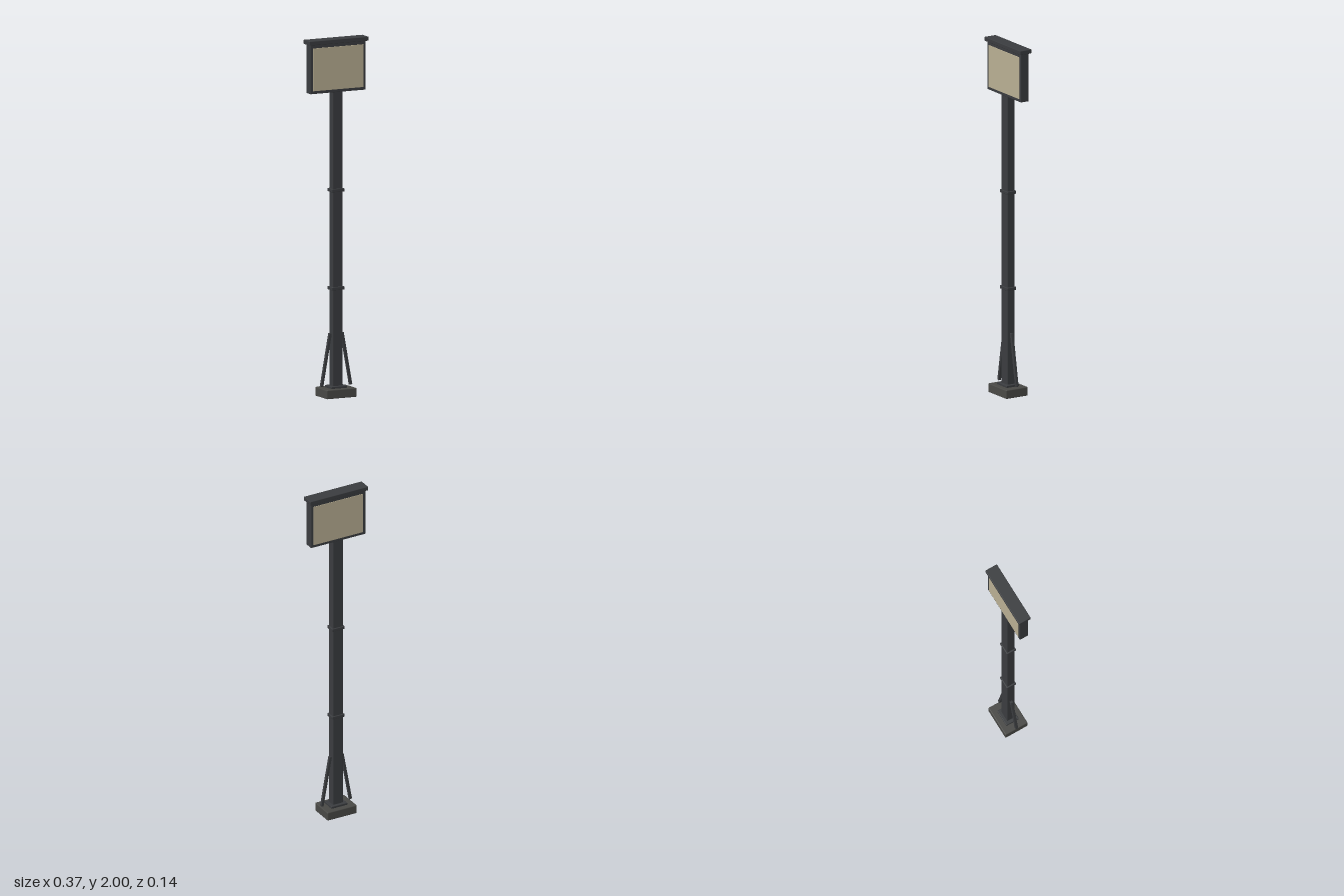
import * as THREE from 'three';
import { RoundedBoxGeometry } from 'three/addons/geometries/RoundedBoxGeometry.js';

export function createModel() {
  const model = new THREE.Group();
  const steel = new THREE.MeshStandardMaterial({ color: 0x3a3c3f });
  const concrete = new THREE.MeshStandardMaterial({ color: 0x484845 });
  const screen = new THREE.MeshStandardMaterial({ color: 0xb8ae92 });

  // Softly bevelled box, full sizes, spanning y0..y1
  function block(name, w, y0, y1, d, material, bevel = 0.003) {
    const mesh = new THREE.Mesh(new RoundedBoxGeometry(w, y1 - y0, d, 2, bevel), material);
    mesh.name = name;
    mesh.position.y = (y0 + y1) / 2;
    model.add(mesh);
    return mesh;
  }

  // Footing, mounting plate and pole
  block('footing', 0.186, 0, 0.05, 0.142, concrete, 0.005);
  block('mountingPlate', 0.1, 0.048, 0.062, 0.08, steel);
  block('pole', 0.062, 0.055, 1.71, 0.046, steel);

  // Collars around the pole
  for (const y of [0.606, 1.154]) block('collar', 0.078, y - 0.009, y + 0.009, 0.058, steel);

  // Slanted braces on both sides of the pole
  for (const side of [-1, 1]) {
    const foot = new THREE.Vector3(side * 0.09, 0.06, 0);
    const head = new THREE.Vector3(side * 0.037, 0.355, 0);
    const dir = head.clone().sub(foot);
    const brace = block('brace', 0.016, 0, dir.length(), 0.016, steel, 0.002);
    brace.position.copy(foot).add(head).multiplyScalar(0.5);
    brace.quaternion.setFromUnitVectors(new THREE.Vector3(0, 1, 0), dir.normalize());
  }

  // Sign cabinet with overhanging cap
  block('signCabinet', 0.344, 1.703, 1.98, 0.052, steel);
  block('signCap', 0.366, 1.977, 2, 0.074, steel);

  // Display panels, front and back
  for (const side of [-1, 1]) {
    const panel = block('displayPanel', 0.312, 1.719, 1.958, 0.006, screen, 0.001);
    panel.position.z = side * 0.025;
  }
  return model;
}
